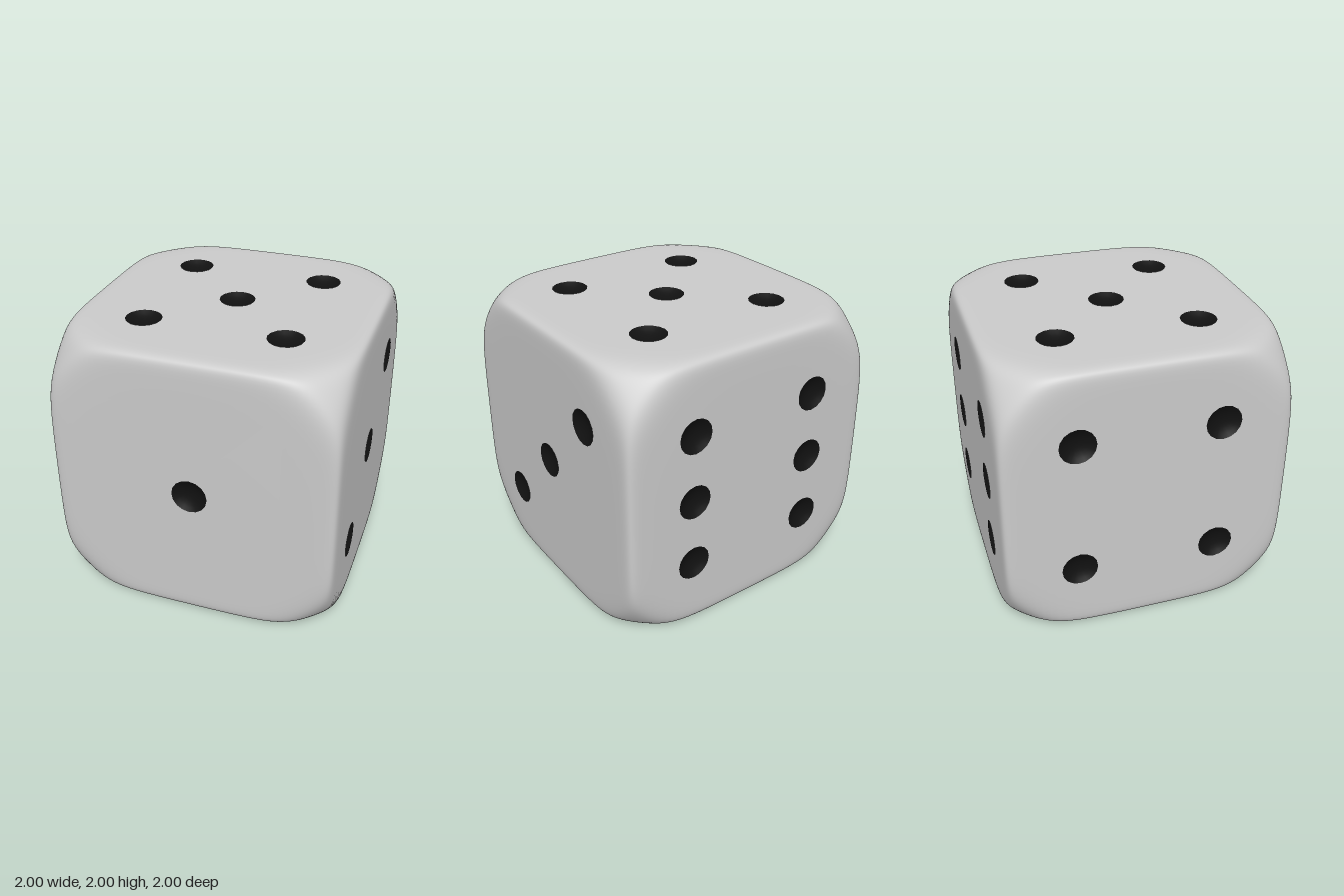
import * as THREE from 'three';
import { mergeGeometries } from 'three/addons/utils/BufferGeometryUtils.js';

const P = 36;            // sharpness of the blend between cube faces and sphere
const R = 1.53;          // radius of the sphere that rounds the corners
const PIP_R = 0.125, PIP_DEPTH = 0.04, SIDES = 16;
const N = 40, INNER = 9; // grid cells per face, half width of the pip panel in cells
const s = 0.49;

// Pip layouts in face coordinates, with the turn that carries +z onto each face
const diagonal = [[s, s], [-s, -s]];
const four = [...diagonal, [-s, s], [s, -s]];
const FACES = [
  { name: 'front', turn: [0, 0], pips: [[0, 0]] },
  { name: 'left', turn: [0, Math.PI / 2], pips: [...diagonal, [0, 0]] },
  { name: 'back', turn: [0, Math.PI], pips: [...four, [-s, 0], [s, 0]] },
  { name: 'right', turn: [0, -Math.PI / 2], pips: four },
  { name: 'top', turn: [-Math.PI / 2, 0], pips: [...four, [0, 0]] },
  { name: 'bottom', turn: [Math.PI / 2, 0], pips: diagonal },
];

// Grid lines crowd towards the edges
const line = (i) => Math.sin((Math.PI / 2) * ((2 * i) / N - 1));

// Moves points of a cube onto the soft intersection of cube and sphere
function roundOff(geometry) {
  const pos = geometry.attributes.position, nor = geometry.attributes.normal;
  const v = new THREE.Vector3(), n = new THREE.Vector3();
  for (let i = 0; i < pos.count; i++) {
    v.fromBufferAttribute(pos, i);
    const sum = Math.abs(v.x) ** P + Math.abs(v.y) ** P + Math.abs(v.z) ** P + (v.length() / R) ** P;
    v.multiplyScalar(sum ** (-1 / P));
    const ball = v.length() ** (P - 2) / R ** P;
    const slope = (c) => Math.sign(c) * Math.abs(c) ** (P - 1) + ball * c;
    n.set(slope(v.x), slope(v.y), slope(v.z)).normalize();
    pos.setXYZ(i, v.x, v.y, v.z);
    nor.setXYZ(i, n.x, n.y, n.z);
  }
  return geometry;
}

// Outer frame of a face: a grid without its middle
function frameGeometry() {
  const g = new THREE.PlaneGeometry(2, 2, N, N);
  const pos = g.attributes.position, index = [];
  const lo = N / 2 - INNER, hi = N / 2 + INNER;
  for (let j = 0; j <= N; j++) {
    for (let i = 0; i <= N; i++) {
      const a = j * (N + 1) + i, b = a + N + 1;
      pos.setXYZ(a, line(i), -line(j), 1);
      const inside = i >= lo && i < hi && j >= lo && j < hi;
      if (i < N && j < N && !inside) index.push(a, b, a + 1, b, b + 1, a + 1);
    }
  }
  g.setIndex(index);
  return g;
}

// Middle panel of a face, pierced by the pips
function panelGeometry(pips) {
  const edge = [], lo = N / 2 - INNER, hi = N / 2 + INNER, e = line(hi);
  for (let side = 0; side < 4; side++) {
    for (let i = lo; i < hi; i++) {
      edge.push(new THREE.Vector2(line(i), -e).rotateAround(new THREE.Vector2(), (side * Math.PI) / 2));
    }
  }
  const shape = new THREE.Shape(edge);
  for (const [x, y] of pips) {
    const ring = [];
    for (let k = 0; k < SIDES; k++) {
      const a = (-2 * Math.PI * k) / SIDES;
      ring.push(new THREE.Vector2(x + PIP_R * Math.cos(a), y + PIP_R * Math.sin(a)));
    }
    shape.holes.push(new THREE.Path(ring));
  }
  return new THREE.ShapeGeometry(shape).translate(0, 0, 1);
}

// Shallow dish, open towards +z
function pipGeometry() {
  const profile = [];
  for (let k = 0; k <= 5; k++) {
    const t = 1 - k / 5;
    profile.push(new THREE.Vector2(PIP_R * t, -PIP_DEPTH * (1 - t * t)));
  }
  return new THREE.LatheGeometry(profile, SIDES).rotateX(Math.PI / 2);
}

export function createModel() {
  const group = new THREE.Group();
  group.name = 'die';
  const bodyMaterial = new THREE.MeshStandardMaterial({ color: 0xcccccc });
  const pipMaterial = new THREE.MeshStandardMaterial({ color: 0x111111, side: THREE.DoubleSide });
  const dish = pipGeometry();
  const bodyParts = [];

  for (const { name, turn, pips } of FACES) {
    // Shell of this face
    for (const g of [frameGeometry(), panelGeometry(pips)]) {
      bodyParts.push(roundOff(g.rotateX(turn[0]).rotateY(turn[1])));
    }
    // Pips of this face
    const face = new THREE.Group();
    face.name = name + 'Pips';
    face.rotation.set(turn[0], turn[1], 0);
    face.position.y = 1;
    for (const [x, y] of pips) {
      const pip = new THREE.Mesh(dish, pipMaterial);
      pip.name = 'pip';
      pip.position.set(x, y, 1);
      face.add(pip);
    }
    group.add(face);
  }

  const body = new THREE.Mesh(mergeGeometries(bodyParts), bodyMaterial);
  body.name = 'body';
  body.position.y = 1;
  group.add(body);
  return group;
}
